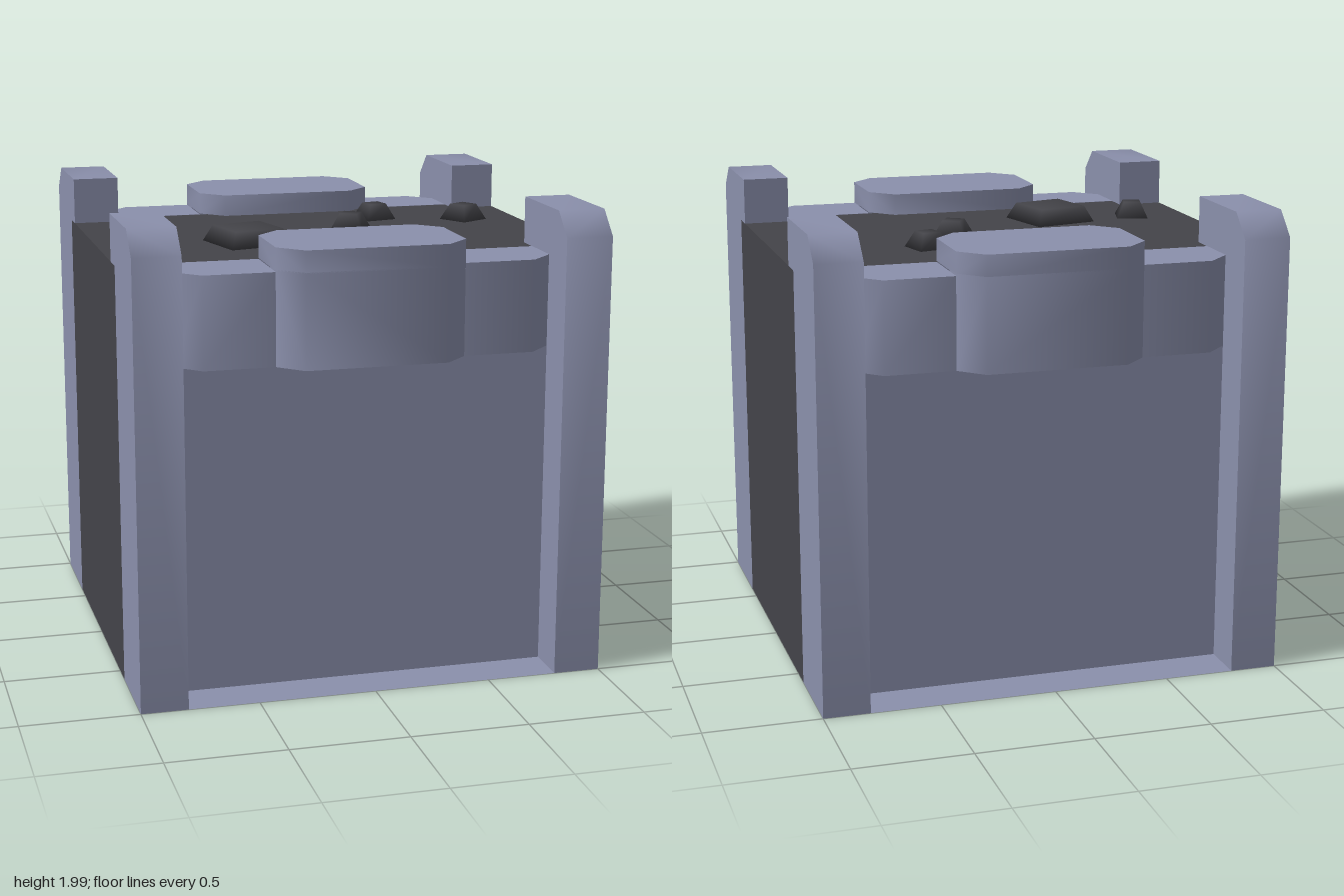
import * as THREE from 'three';
import { mergeVertices, toCreasedNormals } from 'three/addons/utils/BufferGeometryUtils.js';

const H = 1.99, DECK = 1.79, CREASE = Math.PI / 3;

export function createModel() {
  const model = new THREE.Group();
  model.name = 'stoneBlock';
  const stone = new THREE.MeshStandardMaterial({ color: 0x8b90ac, side: THREE.DoubleSide });
  stone.name = 'blueGreyStone';
  const dark = new THREE.MeshStandardMaterial({ color: 0x444449, side: THREE.DoubleSide });
  dark.name = 'darkRock';

  const add = (parent, name, geometry, material) => {
    const mesh = new THREE.Mesh(geometry, material);
    mesh.name = name;
    parent.add(mesh);
    return mesh;
  };
  const shape = (pts) => new THREE.Shape(pts.map(([a, b]) => new THREE.Vector2(a, b)));
  const planShape = (pts) => shape(pts.map(([x, z]) => [x, -z]));

  // Upright block from an [x, z] outline
  const block = (pts, y0, y1) => {
    const g = new THREE.ExtrudeGeometry(planShape(pts), { depth: y1 - y0, bevelEnabled: false });
    return toCreasedNormals(g.rotateX(-Math.PI / 2).translate(0, y0, 0), CREASE);
  };
  // Flat horizontal plate from an [x, z] outline
  const plate = (pts, y) => new THREE.ShapeGeometry(planShape(pts)).rotateX(-Math.PI / 2).translate(0, y, 0);
  // Flat plate across x from a [z, y] outline
  const sidePlate = (pts, x) =>
    new THREE.ShapeGeometry(shape(pts.map(([z, y]) => [-z, y]))).rotateY(Math.PI / 2).translate(x, 0, 0);
  // Strip following a [z, y] path between two x positions
  const band = (path, x0, x1) => {
    const pos = [];
    for (let i = 0; i < path.length - 1; i++) {
      const [z0, y0] = path[i], [z1, y1] = path[i + 1];
      pos.push(x0, y0, z0, x1, y0, z0, x1, y1, z1, x0, y0, z0, x1, y1, z1, x0, y1, z1);
    }
    const g = new THREE.BufferGeometry();
    g.setAttribute('position', new THREE.Float32BufferAttribute(pos, 3));
    return toCreasedNormals(g, CREASE);
  };

  // Corner posts with a chamfered top, and the low cornice blocks beside them
  const postPath = [[1, 0], [1, H - 0.1], [0.9, H], [0.5, H], [0.5, DECK]];
  for (const sx of [1, -1]) for (const sz of [1, -1]) {
    const corner = new THREE.Group();
    corner.name = 'corner';
    corner.scale.set(sx, 1, sz);
    model.add(corner);
    add(corner, 'postFace', band(postPath, 0.8, 1), stone);
    add(corner, 'postOuterSide', sidePlate([...postPath, [0.6, DECK], [0.6, 0]], 1), stone);
    add(corner, 'postInnerSide', sidePlate([...postPath, [0.8, DECK], [0.8, 0]], 0.8), stone);
    add(corner, 'lowCornice', block([[0.4, 0.8], [0.8, 0.8], [0.7, 0.9], [0.4, 0.9]], 1.4, DECK), stone);
    add(corner, 'lowCorniceTop',
      plate([[0.4, 0.6], [0.8, 0.6], [0.8, 0.8], [0.7, 0.9], [0.4, 0.9]], DECK + 0.001), stone);
  }

  // Recessed panel, bottom ledge and raised centre block on front and back
  for (const sz of [1, -1]) {
    const face = new THREE.Group();
    face.name = sz > 0 ? 'frontFace' : 'backFace';
    face.scale.z = sz;
    model.add(face);
    add(face, 'panel', new THREE.PlaneGeometry(1.6, 1.4).translate(0, 0.7, 0.8), stone);
    add(face, 'ledge', plate([[-0.8, 0.8], [-0.8, 1], [0.8, 1], [0.8, 0.8]], 0), stone);
    const bulge = [[0.4, 0.9], [0.3, 1], [-0.3, 1], [-0.4, 0.9]];
    add(face, 'centreCornice', block([[0.4, 0.8], ...bulge, [-0.4, 0.8]], 1.4, 1.8), stone);
    add(face, 'centreCorniceTop',
      block([[0.4, 0.6], ...bulge, [-0.4, 0.6], [-0.3, 0.5], [0.3, 0.5]], DECK + 0.005, 1.89), stone);
  }

  // Dark top and side walls
  add(model, 'deck', plate([[-1, -0.6], [-1, 0.6], [1, 0.6], [1, -0.6]], DECK), dark);
  for (const sx of [1, -1]) {
    const wall = new THREE.PlaneGeometry(1.2, DECK).rotateY(sx * Math.PI / 2);
    add(model, sx > 0 ? 'leftWall' : 'rightWall', wall.translate(sx, DECK / 2, 0), dark);
  }

  // Tapered pebbles on the deck: x, z, width, turn
  const pebbles = [
    [-0.355, 0.205, 0.29, 0.24], [-0.745, 0.19, 0.14, -0.27], [0.175, -0.05, 0.145, -0.55],
    [0.355, -0.29, 0.145, 0.24], [0.745, -0.165, 0.15, 0.53],
  ];
  for (const [x, z, w, turn] of pebbles) {
    const box = new THREE.BoxGeometry(w, 0.07, w);
    box.deleteAttribute('normal');
    box.deleteAttribute('uv');
    const g = mergeVertices(box);
    const p = g.attributes.position, k = (w - 0.065) / w;
    for (let i = 0; i < p.count; i++) {
      if (p.getY(i) > 0) p.setXYZ(i, p.getX(i) * k, p.getY(i), p.getZ(i) * k);
    }
    g.computeVertexNormals();
    const pebble = add(model, 'pebble', g, dark);
    pebble.position.set(x, DECK + 0.036, z);
    pebble.rotation.y = turn;
  }
  return model;
}
